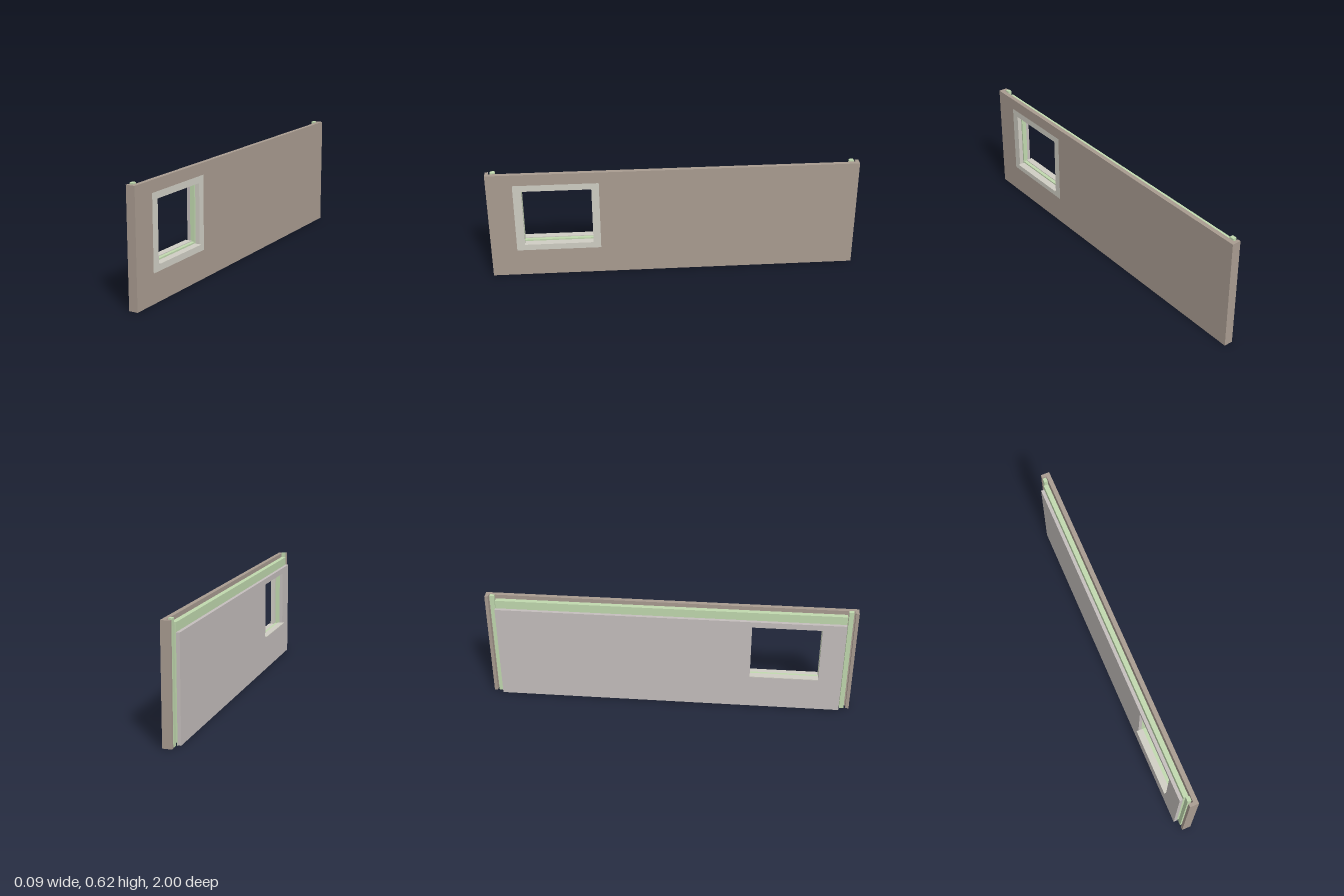
import * as THREE from 'three';

const mat = (color) => new THREE.MeshStandardMaterial({ color, flatShading: true });
const BROWN = mat(0xa89b90), TRIM = mat(0xcfcdc3), GREEN = mat(0xc0d8ae), PLASTER = mat(0xc4bebc);

export function createModel() {
  const group = new THREE.Group();

  const add = (name, geometry, material) => {
    const mesh = new THREE.Mesh(geometry, material);
    mesh.name = name;
    group.add(mesh);
  };
  // Box given by its limits along each axis
  const box = (name, material, [x0, x1], [y0, y1], [z0, z1]) => {
    const g = new THREE.BoxGeometry(x1 - x0, y1 - y0, z1 - z0);
    g.translate((x0 + x1) / 2, (y0 + y1) / 2, (z0 + z1) / 2);
    add(name, g, material);
  };
  // Upright sheet in the z-y plane with a rectangular opening
  const sheet = (name, material, [x0, x1], [y0, y1], [z0, z1], hole) => {
    const corners = (a, b, c, d) => [[a, c], [b, c], [b, d], [a, d]].map((p) => new THREE.Vector2(...p));
    const shape = new THREE.Shape(corners(z0, z1, y0, y1));
    shape.holes.push(new THREE.Path(corners(hole.z[0], hole.z[1], hole.y[0], hole.y[1])));
    const g = new THREE.ExtrudeGeometry(shape, { depth: x1 - x0, bevelEnabled: false });
    g.rotateY(-Math.PI / 2);
    g.translate(x1, 0, 0);
    add(name, g, material);
  };

  const trimArea = { y: [0.155, 0.553], z: [0.402, 0.86] };
  const outerOpening = { y: [0.189, 0.517], z: [0.443, 0.815] };
  const innerOpening = { y: [0.203, 0.517], z: [0.443, 0.815] };

  // Outer cladding with the window surround set flush into it
  sheet('outerCladding', BROWN, [0.013, 0.037], [0, 0.616], [-1, 1], trimArea);
  sheet('windowSurround', TRIM, [0.013, 0.037], trimArea.y, trimArea.z, outerOpening);

  // Core, inner lining
  sheet('core', GREEN, [-0.019, 0.007], [0.015, 0.597], [-0.942, 0.942], innerOpening);
  sheet('innerLining', PLASTER, [-0.037, -0.019], [0.003, 0.55], [-0.945, 0.942], innerOpening);

  // Flanges of the channel along the foot of the core
  for (const x of [-0.019, 0.002]) {
    box('footFlange', GREEN, [x, x + 0.005], [0, 0.015], [-0.942, 0.942]);
  }

  // Return edges of the cladding and joint posts at both ends
  for (const s of [-1, 1]) {
    const span = (a, b) => [s * a, s * b].sort((p, q) => p - q);
    box('endReturn', BROWN, [-0.012, 0.013], [0, 0.616], span(0.982, 1));
    box('jointPost', GREEN, [-0.012, 0.008], [0, 0.621], span(0.947, 0.972));
  }

  // Window sills with a drip edge outside
  box('innerSill', TRIM, [-0.048, -0.012], [0.203, 0.207], innerOpening.z);
  box('outerSill', TRIM, [0.007, 0.047], [0.19, 0.195], outerOpening.z);
  box('dripEdge', TRIM, [0.045, 0.047], [0.183, 0.19], outerOpening.z);

  return group;
}
